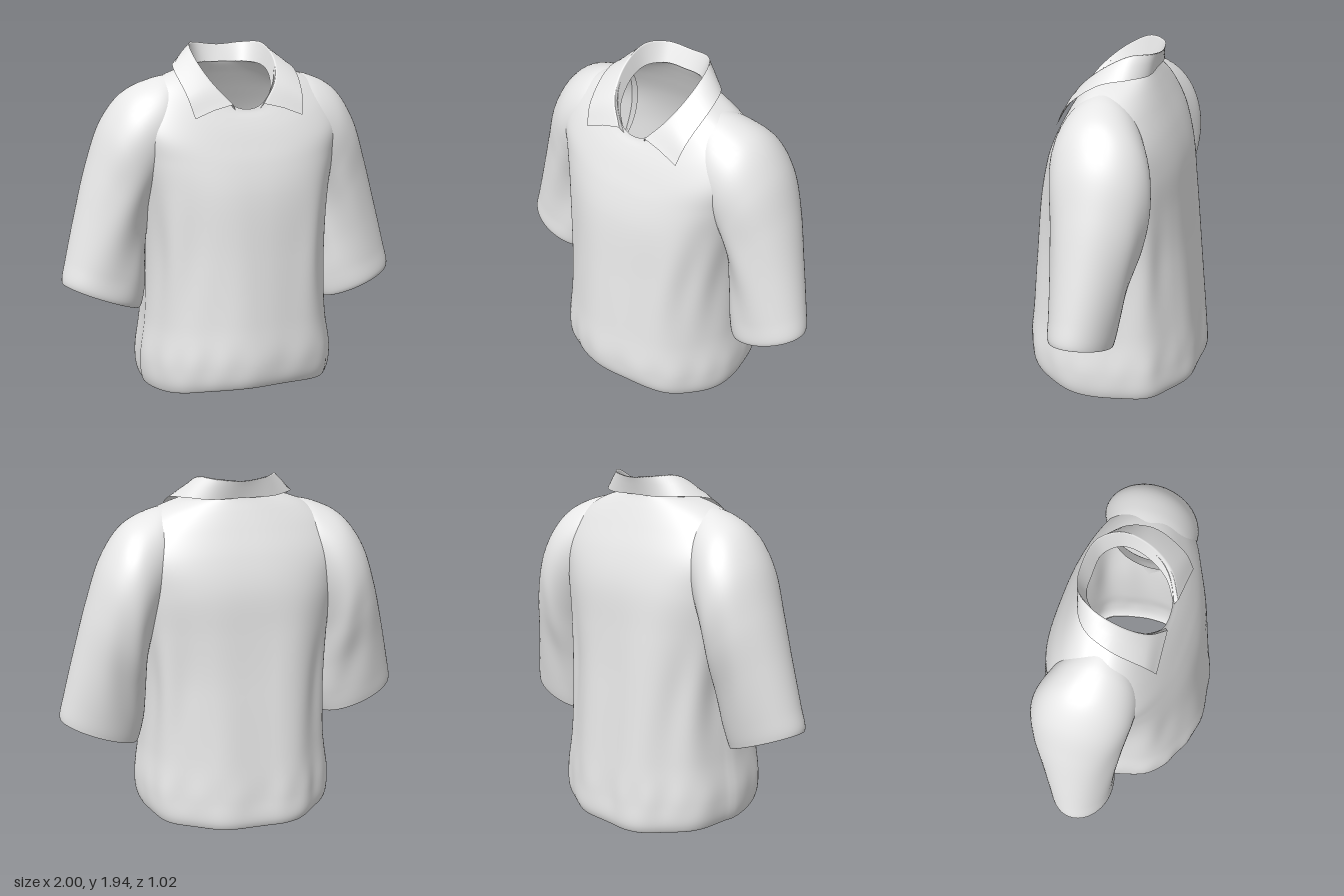
import * as THREE from 'three';

const TAU = Math.PI * 2;
const V = (x, y, z) => new THREE.Vector3(x, y, z);
const bump = (v, c, w) => Math.exp(-(((v - c) / w) ** 2));
const spow = (v, e) => Math.sign(v) * Math.abs(v) ** e;

// Smooth skin through a row of rings with equal point counts
function loft(rings, steps, closed, flip, deform) {
  const n = rings[0].length, pos = [], idx = [];
  const cols = rings[0].map((_, i) => new THREE.CatmullRomCurve3(rings.map((r) => r[i])));
  for (let j = 0; j <= steps; j++) {
    for (let i = 0; i < n; i++) {
      const p = cols[i].getPoint(j / steps);
      if (deform) deform(p, (i / n) * TAU, j / steps);
      pos.push(p.x, p.y, p.z);
    }
  }
  for (let j = 0; j < steps; j++) {
    for (let i = 0; i < (closed ? n : n - 1); i++) {
      const a = j * n + i, b = j * n + ((i + 1) % n), c = a + n, d = b + n;
      if (flip) idx.push(a, b, c, b, d, c);
      else idx.push(a, c, b, b, c, d);
    }
  }
  const g = new THREE.BufferGeometry();
  g.setAttribute('position', new THREE.Float32BufferAttribute(pos, 3));
  g.setIndex(idx);
  g.computeVertexNormals();
  return g;
}

// Torso: half width, y at side / front / back, z at front / back, squareness,
// from turned hem to neck
const BODY = [
  [0.52, 0.075, 0.13, 0.055, 0.452, -0.47, 0.87],
  [0.537, 0.035, 0.092, 0.012, 0.473, -0.497, 0.87],
  [0.555, 0.08, 0.13, 0.05, 0.495, -0.515, 0.87],
  [0.56, 0.2, 0.24, 0.18, 0.507, -0.51, 0.87],
  [0.53, 0.42, 0.45, 0.42, 0.485, -0.487, 0.85],
  [0.515, 0.8, 0.8, 0.8, 0.445, -0.45, 0.81],
  [0.545, 1.12, 1.15, 1.12, 0.402, -0.415, 0.78],
  [0.59, 1.34, 1.31, 1.36, 0.36, -0.385, 0.78],
  [0.625, 1.52, 1.41, 1.53, 0.322, -0.335, 0.8],
  [0.565, 1.66, 1.49, 1.67, 0.288, -0.275, 0.84],
  [0.45, 1.752, 1.55, 1.765, 0.258, -0.23, 0.87],
  [0.31, 1.808, 1.585, 1.825, 0.238, -0.2, 0.87],
  [0.225, 1.825, 1.6, 1.84, 0.232, -0.195, 0.87],
];

function bodyGeometry() {
  const n = 120;
  const rings = BODY.map(([w, yS, yF, yB, zF, zB, e]) =>
    Array.from({ length: n }, (_, i) => {
      const a = (i / n) * TAU, c = Math.cos(a), s = Math.sin(a);
      const y = yS + ((s > 0 ? yF : yB) - yS) * s * s;
      return V(w * spow(c, e), y, spow(s, e) * (s > 0 ? zF : -zB));
    }));
  return loft(rings, 92, true, false, (p, a) => {
    // Hanging folds, gathers above the hem, and a back that hangs fuller on one side
    const y = p.y, s = Math.sin(a);
    const fade = THREE.MathUtils.smoothstep(1.5 - y, 0, 0.7);
    const folds = s < 0 ? 0.01 * Math.sin(a * 9 + 0.6) : 0.007 * Math.sin(a * 8 + 0.5);
    const gather = 0.004 * bump(y, 0.2, 0.1) * Math.sin(a * 17 + Math.sin(a * 3));
    const pull = 0.012 * bump(y, 0.8, 0.3) * Math.cos(a) ** 2 * Math.sin(a * 12 + y * 3);
    const k = 1 + (folds * fade + gather + pull) / 0.5;
    if (s < 0) p.z += 0.1 * fade * s * s * THREE.MathUtils.clamp(p.x + 0.15, 0, 0.4);
    p.x *= 1 + (k - 1) * 0.6;
    p.z *= k;
  });
}

// Sleeve: outer x, y, inner x, y, z at front / back, from the collar over the
// shoulder to the turned cuff
const SLEEVE = [
  [0.33, 1.79, 0.36, 1.28, 0.17, -0.19],
  [0.47, 1.763, 0.42, 1.22, 0.212, -0.262],
  [0.62, 1.69, 0.47, 1.14, 0.22, -0.315],
  [0.74, 1.53, 0.495, 1.05, 0.207, -0.33],
  [0.832, 1.28, 0.51, 0.93, 0.182, -0.305],
  [0.91, 1.0, 0.52, 0.77, 0.167, -0.25],
  [0.972, 0.75, 0.53, 0.58, 0.165, -0.205],
  [0.998, 0.63, 0.555, 0.46, 0.165, -0.18],
  [0.995, 0.605, 0.566, 0.44, 0.155, -0.172],
  [0.98, 0.615, 0.58, 0.45, 0.147, -0.164],
  [0.955, 0.7, 0.56, 0.55, 0.147, -0.164],
];

function sleeveGeometry(side, lift) {
  const n = 64;
  const rings = SLEEVE.map(([ox, oy, ix, iy, zF, zB], j) =>
    Array.from({ length: n }, (_, i) => {
      const a = (i / n) * TAU, c = Math.cos(a), s = Math.sin(a);
      const up = lift * THREE.MathUtils.clamp((j - 2) / 5, 0, 1);
      return V(side * ((ox + ix) / 2 + ((ox - ix) / 2) * c),
        (oy + iy) / 2 + ((oy - iy) / 2) * c + up,
        (zF + zB) / 2 + ((zF - zB) / 2) * s);
    }));
  return loft(rings, 72, true, side > 0, (p, a, v) => {
    // Slanting creases under the arm, fading toward the cuff
    const inner = 0.5 - 0.5 * Math.cos(a);
    const crease = 0.014 * bump(v, 0.45, 0.16) * inner;
    p.z += crease * Math.sin(a * 5 + v * 14) * Math.sin(a);
    p.x += side * 0.4 * crease * Math.sin(a * 4 + v * 18);
  });
}

// Collar half: inner base, fold and outer edge, from front opening to centre back
const COLLAR = [
  [[0.07, 1.595, 0.232], [0.09, 1.628, 0.25], [0.313, 1.56, 0.265]],
  [[0.165, 1.69, 0.15], [0.185, 1.745, 0.175], [0.338, 1.675, 0.205]],
  [[0.21, 1.79, 0.0], [0.232, 1.865, 0.04], [0.355, 1.815, 0.02]],
  [[0.195, 1.825, -0.1], [0.218, 1.945, -0.11], [0.3, 1.84, -0.125]],
  [[0.12, 1.835, -0.175], [0.14, 1.945, -0.212], [0.18, 1.835, -0.205]],
  [[0, 1.835, -0.187], [0, 1.932, -0.24], [0, 1.835, -0.212]],
];

function collarGeometry() {
  const half = COLLAR.map(([base, fold, edge]) => {
    const [b, f, e] = [base, fold, edge].map((p) => V(...p));
    const mid = f.clone().lerp(e, 0.5);
    mid.y += 0.008;
    return [b, b.clone().lerp(f, 0.9), f, f.clone().lerp(mid, 0.15), mid, e];
  });
  const other = half.slice(0, -1).reverse().map((r) => r.map((p) => V(-p.x, p.y, p.z)));
  return loft([...half, ...other], 80, false, true);
}

export function createModel() {
  const cloth = new THREE.MeshStandardMaterial({ color: 0xe7e7e7, side: THREE.DoubleSide });
  cloth.name = 'light grey cloth';
  const shirt = new THREE.Group();
  shirt.name = 'shirt';
  const add = (name, geometry) => {
    const m = new THREE.Mesh(geometry, cloth);
    m.name = name;
    shirt.add(m);
  };
  add('body', bodyGeometry());
  add('leftSleeve', sleeveGeometry(1, 0));
  add('rightSleeve', sleeveGeometry(-1, 0.045));
  add('collar', collarGeometry());
  return shirt;
}
